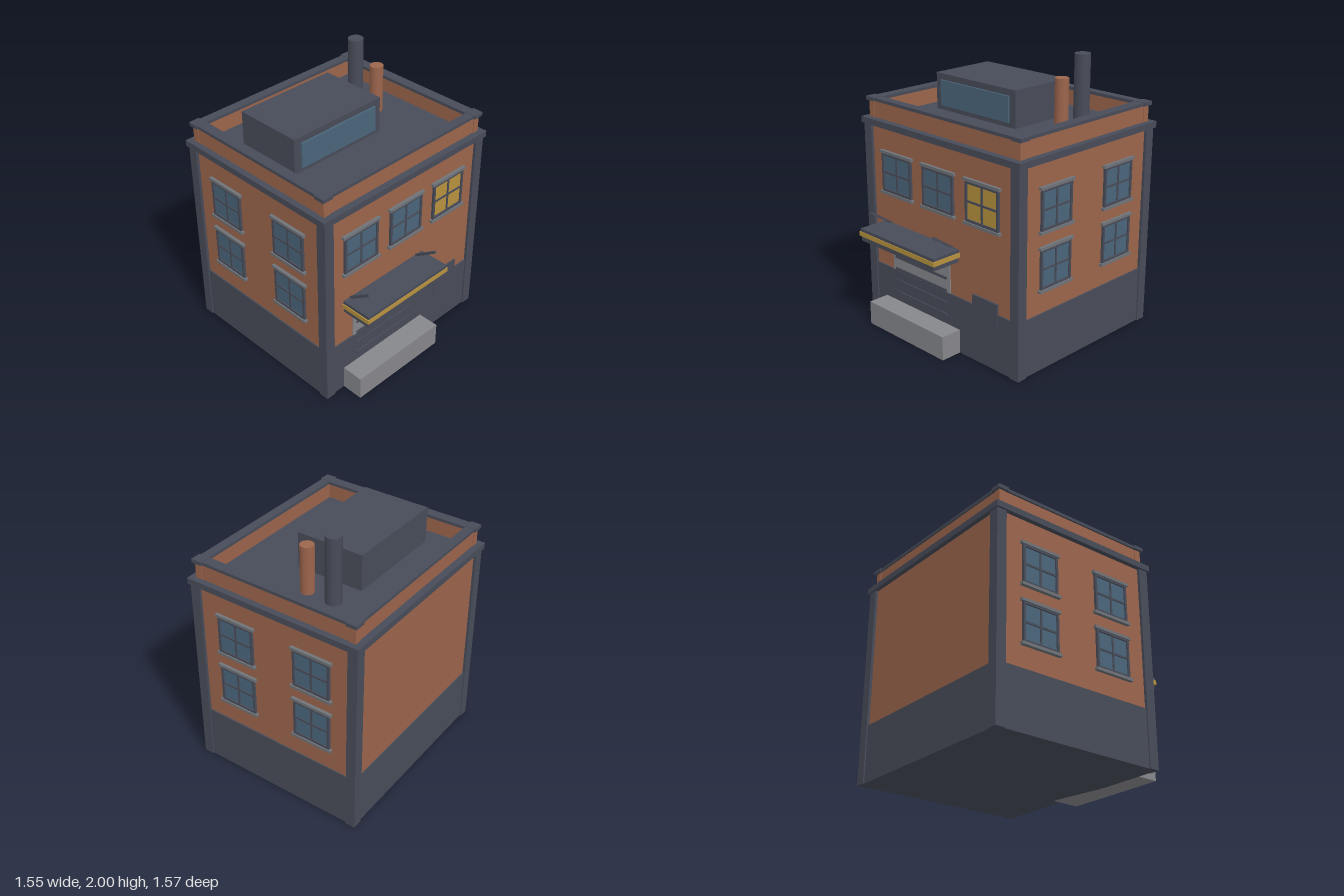
import * as THREE from 'three';

const material = (name, color) => {
  const m = new THREE.MeshStandardMaterial({ color });
  m.name = name;
  return m;
};

export function createModel() {
  const brick = material('brick', 0x9c654c);
  const slate = material('slate', 0x484c59);
  const glass = material('glass', 0x4a667b);
  const litGlass = material('lit glass', 0xb8923f);
  const concrete = material('concrete', 0x86878b);
  const stone = material('trim stone', 0x6f7378);

  const model = new THREE.Group();
  model.name = 'building';
  const CZ = -0.1; // depth centre of the main block

  // Box given by its minimum and maximum on each axis
  function box(name, mat, x0, x1, y0, y1, z0, z1, parent = model) {
    const mesh = new THREE.Mesh(new THREE.BoxGeometry(x1 - x0, y1 - y0, z1 - z0), mat);
    mesh.position.set((x0 + x1) / 2, (y0 + y1) / 2, (z0 + z1) / 2);
    mesh.name = name;
    parent.add(mesh);
    return mesh;
  }

  // Rectangular ring around the main block
  function ring(name, mat, hx, hz, ix, iz, y0, y1) {
    const rect = (Type, a, b) => {
      const p = new Type();
      p.moveTo(-a, -b).lineTo(a, -b).lineTo(a, b).lineTo(-a, b).closePath();
      return p;
    };
    const shape = rect(THREE.Shape, hx, hz);
    shape.holes.push(rect(THREE.Path, ix, iz));
    const geo = new THREE.ExtrudeGeometry(shape, { depth: y1 - y0, bevelEnabled: false });
    geo.rotateX(-Math.PI / 2);
    const mesh = new THREE.Mesh(geo, mat);
    mesh.position.set(0, y0, CZ);
    mesh.name = name;
    model.add(mesh);
  }

  // Main block and plinth
  box('brickWalls', brick, -0.74, 0.74, 0.40, 1.47, CZ - 0.65, CZ + 0.65);
  box('plinth', slate, -0.75, 0.75, 0, 0.415, CZ - 0.66, CZ + 0.66);

  // Corner pillars, parapet posts and coping blocks
  for (const sx of [-1, 1]) {
    for (const sz of [-1, 1]) {
      const corner = (name, mat, w, ex, ez, y0, y1) => box(name, mat,
        sx * ex - (sx > 0 ? w : 0), sx * ex + (sx > 0 ? 0 : w), y0, y1,
        CZ + sz * ez - (sz > 0 ? w : 0), CZ + sz * ez + (sz > 0 ? 0 : w));
      corner('cornerPillar', slate, 0.075, 0.76, 0.67, 0, 1.47);
      corner('parapetPost', brick, 0.05, 0.735, 0.637, 1.5, 1.635);
      corner('copingBlock', slate, 0.08, 0.752, 0.652, 1.628, 1.655);
    }
  }

  // Cornice, roof deck and parapet
  box('cornice', slate, -0.775, 0.775, 1.465, 1.51, CZ - 0.682, CZ + 0.682);
  box('roofDeck', slate, -0.7, 0.7, 1.5, 1.515, CZ - 0.6, CZ + 0.6);
  ring('parapet', brick, 0.73, 0.632, 0.68, 0.582, 1.505, 1.635);
  ring('coping', slate, 0.742, 0.642, 0.665, 0.575, 1.63, 1.652);

  // Window facing +z around its own origin, which sits at wall level
  function makeWindow(w, pane) {
    const g = new THREE.Group();
    g.name = 'window';
    const h = 0.28, a = w / 2, b = h / 2, t = 0.017;
    box('pane', pane, -a + t, a - t, -b, b, 0, 0.008, g);
    for (const s of [-1, 1]) {
      box('frameSide', slate, s * (a - t / 2) - t / 2, s * (a - t / 2) + t / 2, -b, b, 0, 0.018, g);
      box('frameEnd', slate, -a, a, s * (b - t / 2) - t / 2, s * (b - t / 2) + t / 2, 0, 0.018, g);
    }
    box('mullion', slate, -0.007, 0.007, -b, b, 0, 0.014, g);
    box('crossBar', slate, -a, a, -0.007, 0.007, 0, 0.014, g);
    box('lintel', stone, -a - 0.015, a + 0.015, b, b + 0.02, 0, 0.023, g);
    box('sill', stone, -a - 0.015, a + 0.015, -b - 0.02, -b, 0, 0.027, g);
    model.add(g);
    return g;
  }

  // Three front windows, the last one lit
  [-0.43, -0.005, 0.42].forEach((x, i) => {
    makeWindow(0.305, i === 2 ? litGlass : glass).position.set(x, 1.14, CZ + 0.65);
  });

  // Four windows on each side
  for (const s of [-1, 1]) {
    for (const z of [0.21, -0.41]) {
      for (const y of [0.73, 1.14]) {
        const win = makeWindow(0.29, glass);
        win.position.set(s * 0.74, y, z);
        win.rotation.y = s * Math.PI / 2;
      }
    }
  }

  // Roller shutter with slats
  box('shutter', concrete, -0.5, 0.1, 0.40, 0.66, 0.5, 0.559);
  for (let i = 0; i < 5; i++) {
    const y = 0.245 + i * 0.0925;
    box('shutterSlat', slate, -0.47, 0.07, y - 0.009, y + 0.009, 0.54, 0.567);
  }

  // Raised wall block, loading step
  box('wallBlock', slate, 0.325, 0.56, 0.3, 0.49, 0.5, 0.563);
  box('loadingStep', concrete, -0.59, 0.195, 0, 0.175, 0.5, 0.72);

  // Canopy with a coloured band and two slanted struts
  box('canopyBase', slate, -0.578, 0.183, 0.675, 0.712, 0.54, 0.775);
  box('canopyBand', litGlass, -0.59, 0.195, 0.712, 0.745, 0.54, 0.785);
  box('canopyTop', slate, -0.583, 0.188, 0.745, 0.767, 0.54, 0.78);
  for (const x of [-0.52, 0.125]) {
    const strut = box('canopyStrut', slate, x - 0.008, x + 0.008, 0.813, 0.829, 0.525, 0.745);
    strut.rotation.x = -0.6;
    strut.position.set(x, 0.821, 0.634);
  }

  // Rooftop skylight box
  box('skylightBox', slate, -0.545, 0.24, 1.51, 1.78, -0.44, 0.07);
  box('skylightGlass', glass, -0.49, 0.185, 1.55, 1.735, 0.06, 0.084);

  // Chimneys
  function chimney(name, mat, r, top, z) {
    const geo = new THREE.CylinderGeometry(r, r, top - 1.51, 12);
    const mesh = new THREE.Mesh(geo, mat);
    mesh.position.set(0.445, (top + 1.51) / 2, z);
    mesh.name = name;
    model.add(mesh);
  }
  chimney('tallChimney', slate, 0.056, 2.0, -0.365);
  chimney('shortChimney', brick, 0.049, 1.865, -0.16);

  return model;
}
